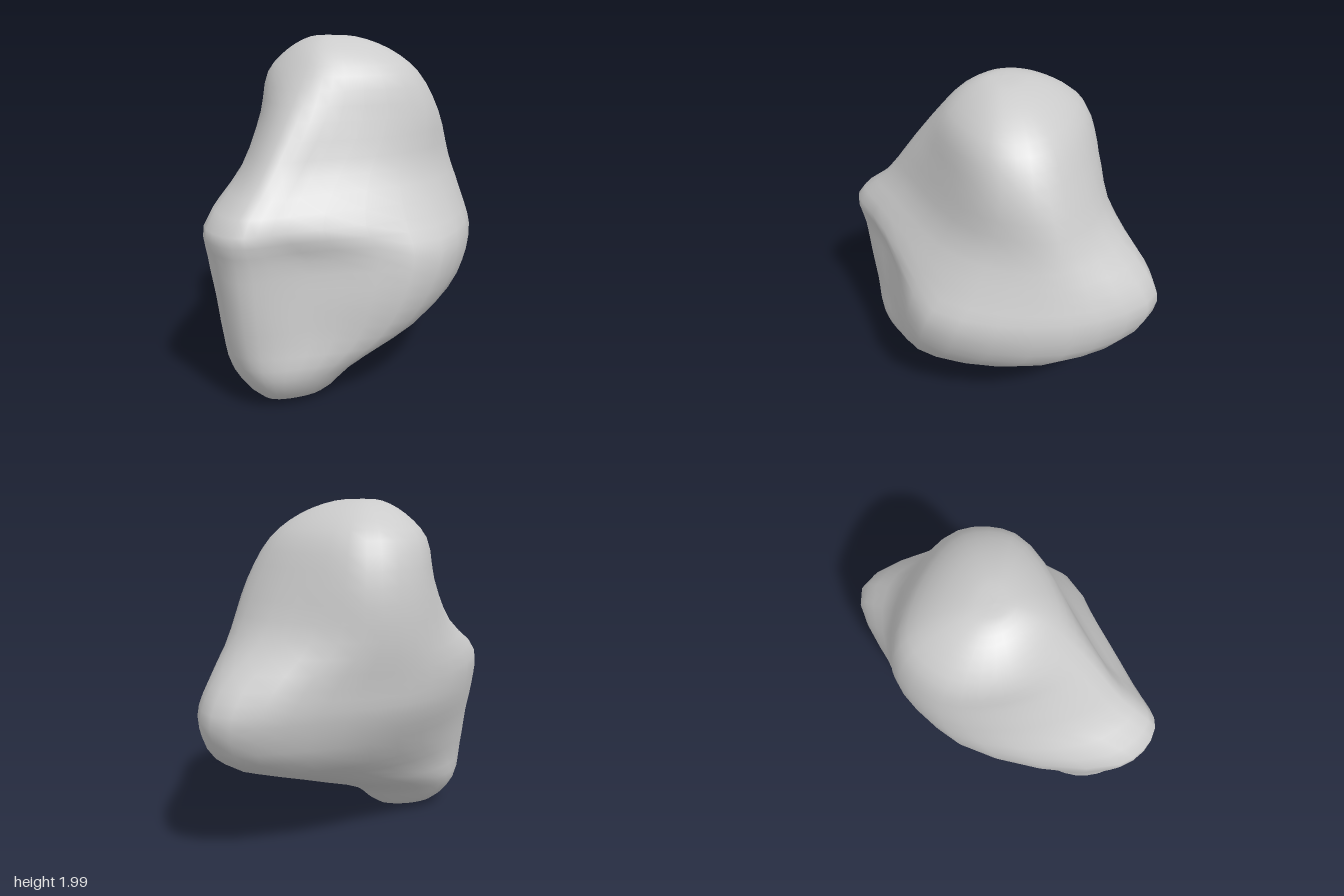
import * as THREE from 'three';

// Horizontal sections: height, then eight [x, z] points from the front,
// round by the left (+x), back and right (-x).
const SECTIONS = [
  [0.2, [[-.1, .88], [.08, .77], [.25, .48], [.15, .25], [-.05, .15], [-.29, .32], [-.4, .6], [-.33, .79]]],
  [0.4, [[-.12, .92], [.13, .7], [.48, .33], [.4, -.2], [.06, -.38], [-.25, -.17], [-.44, .4], [-.36, .82]]],
  [0.62, [[-.12, .95], [.12, .69], [.61, .24], [.48, -.55], [.06, -.88], [-.26, -.58], [-.52, .1], [-.38, .84]]],
  [0.85, [[-.12, .975], [.12, .68], [.65, .16], [.48, -.63], [.03, -1], [-.34, -.6], [-.62, 0], [-.4, .87]]],
  [1.03, [[-.12, 1], [.07, .8], [.56, .07], [.45, -.57], [.03, -.92], [-.41, -.53], [-.65, 0], [-.4, .89]]],
  [1.27, [[-.12, .76], [.07, .56], [.44, 0], [.38, -.52], [-.02, -.67], [-.51, -.43], [-.65, -.05], [-.42, .54]]],
  [1.55, [[-.1, .55], [.12, .36], [.42, -.1], [.33, -.43], [-.05, -.54], [-.51, -.41], [-.63, -.08], [-.43, .32]]],
  [1.78, [[-.1, .37], [.1, .27], [.33, -.08], [.23, -.34], [-.08, -.43], [-.46, -.35], [-.57, -.05], [-.42, .24]]],
];
const AROUND = 32;
const ROWS = 36;

// One section as a smooth closed loop
function loop([y, points]) {
  const curve = new THREE.CatmullRomCurve3(points.map(([x, z]) => new THREE.Vector3(x, y, z)), true);
  return Array.from({ length: AROUND }, (_, i) => curve.getPoint(i / AROUND));
}

// A loop shrunk towards a centre, for the rounded ends
function shrink(ring, scale, y, cx, cz) {
  return ring.map((p) => new THREE.Vector3(cx + (p.x - cx) * scale, y, cz + (p.z - cz) * scale));
}

function boulderGeometry() {
  const rings = SECTIONS.map(loop);
  const foot = rings[0];
  const crown = rings[rings.length - 1];

  // Rounded foot and crown
  rings.unshift(shrink(foot, 0, 0, -.09, .62), shrink(foot, .55, .04, -.09, .62));
  rings.push(
    shrink(crown, .67, 1.91, -.15, .01),
    shrink(crown, .3, 1.98, -.15, .02),
    shrink(crown, 0, 1.99, -.15, .02),
  );

  // Smooth columns through the loops
  const columns = Array.from({ length: AROUND }, (_, i) =>
    new THREE.CatmullRomCurve3(rings.map((ring) => ring[i])));
  const positions = [];
  const index = [];
  for (let r = 0; r <= ROWS; r++) {
    for (let i = 0; i < AROUND; i++) {
      const p = columns[i].getPoint(r / ROWS);
      positions.push(p.x, Math.max(p.y, 0), p.z);
      if (r === ROWS) continue;
      const a = r * AROUND + i;
      const b = r * AROUND + (i + 1) % AROUND;
      if (r > 0) index.push(a, b, a + AROUND);
      if (r < ROWS - 1) index.push(b, b + AROUND, a + AROUND);
    }
  }
  const geometry = new THREE.BufferGeometry();
  geometry.setAttribute('position', new THREE.Float32BufferAttribute(positions, 3));
  geometry.setIndex(index);
  geometry.computeVertexNormals();
  return geometry;
}

export function createModel() {
  const group = new THREE.Group();
  group.name = 'rock';
  const boulder = new THREE.Mesh(boulderGeometry(), new THREE.MeshStandardMaterial({ color: 0xcccccc }));
  boulder.name = 'boulder';
  group.add(boulder);
  return group;
}
